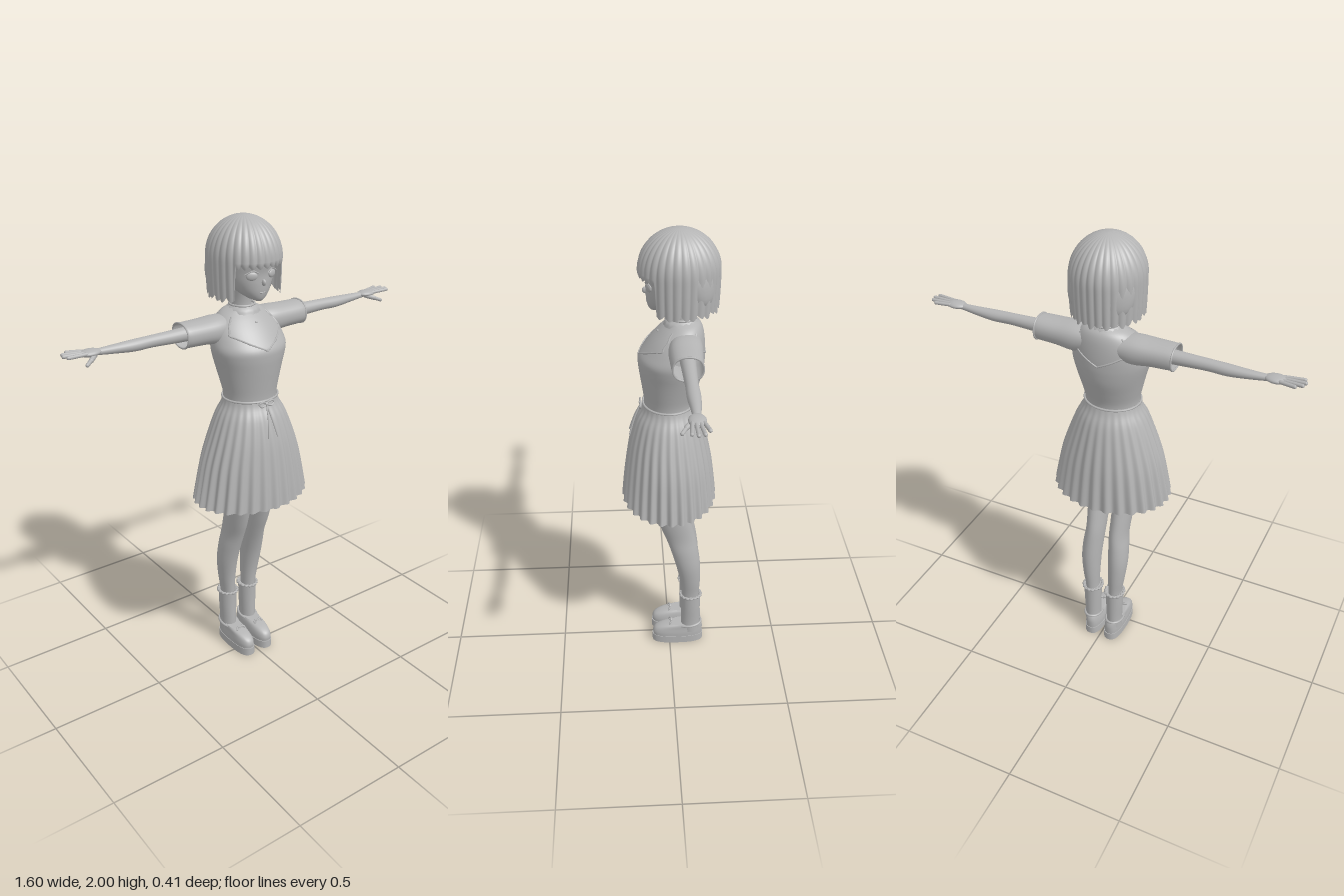
import * as THREE from 'three';

const grey = new THREE.MeshStandardMaterial({ color: 0xb4b4b4, side: THREE.DoubleSide });
grey.name = 'plain grey';

function mesh(name, geometry, parent) {
  const m = new THREE.Mesh(geometry, grey);
  m.name = name;
  parent.add(m);
  return m;
}

// Closed rings stacked upward; point(angle, t) gives each corner, angle 0 faces +z.
function rings(rows, n, point, capped) {
  const pos = [], idx = [];
  for (let r = 0; r <= rows; r++)
    for (let i = 0; i < n; i++) pos.push(...point((i / n) * Math.PI * 2, r / rows));
  for (let r = 0; r < rows; r++)
    for (let i = 0; i < n; i++) {
      const j = (i + 1) % n, a = r * n + i, b = r * n + j;
      idx.push(a, b, b + n, a, b + n, a + n);
    }
  if (capped) for (const r of [0, rows]) {
    const base = pos.length / 3, c = [0, 0, 0];
    for (let i = 0; i < n; i++) {
      const p = point((i / n) * Math.PI * 2, r / rows);
      pos.push(...p);
      p.forEach((v, k) => { c[k] += v / n; });
    }
    pos.push(...c);
    for (let i = 0; i < n; i++) {
      const a = base + i, b = base + (i + 1) % n;
      if (r) idx.push(a, b, base + n); else idx.push(b, a, base + n);
    }
  }
  const g = new THREE.BufferGeometry();
  g.setAttribute('position', new THREE.Float32BufferAttribute(pos, 3));
  g.setIndex(idx);
  g.computeVertexNormals();
  return g;
}

// Smooth loft through [y, x min, x max, z min, z max] sections, listed upward.
function loft(sections, { n = 24, rows = sections.length * 4, capped = true, wave = () => 1 } = {}) {
  const curve = (a, b) => new THREE.CatmullRomCurve3(
    sections.map(s => new THREE.Vector3(s[a], s[0], s[b])), false, 'catmullrom', 0.5);
  const lo = curve(1, 3), hi = curve(2, 4);
  return rings(rows, n, (a, t) => {
    const p = lo.getPoint(t), q = hi.getPoint(t), w = wave(a, t);
    return [(p.x + q.x) / 2 + (q.x - p.x) / 2 * Math.sin(a) * w, p.y,
      (p.z + q.z) / 2 + (q.z - p.z) / 2 * Math.cos(a) * w];
  }, capped);
}
const even = list => list.map(([y, x, z0, z1]) => [y, -x, x, z0, z1]);

function tube(points, r, closed = false) {
  const path = new THREE.CatmullRomCurve3(points.map(p => new THREE.Vector3(...p)), closed);
  return new THREE.TubeGeometry(path, points.length * 5, r, 6, closed);
}
const loop = (n, f) => Array.from({ length: n }, (_, i) => f((i / n) * Math.PI * 2));

// An ellipsoid
function blob(name, parent, at, size) {
  const m = mesh(name, new THREE.SphereGeometry(1, 20, 14), parent);
  m.position.set(...at);
  m.scale.set(...size);
  return m;
}

// A rounded finger from a to b
function finger(name, parent, a, b, r) {
  const p = new THREE.Vector3(...a), q = new THREE.Vector3(...b), d = q.clone().sub(p);
  const m = mesh(name, new THREE.CapsuleGeometry(r, d.length(), 4, 8), parent);
  m.position.copy(p).add(q).multiplyScalar(0.5);
  m.quaternion.setFromUnitVectors(new THREE.Vector3(0, 1, 0), d.normalize());
}

const TORSO = [[1.25, .114, -.10, .10], [1.29, .117, -.103, .103], [1.34, .128, -.117, .11], [1.4, .143, -.135, .119],
  [1.45, .157, -.143, .125], [1.485, .163, -.145, .123], [1.52, .158, -.145, .1], [1.56, .145, -.142, .068],
  [1.595, .12, -.136, .034], [1.62, .09, -.125, .006], [1.637, .052, -.105, -.004]];

// A point on the torso surface, front (side 1) or back (side -1)
function onTorso(x, y, side) {
  const i = Math.max(1, TORSO.findIndex(s => s[0] >= y)), a = TORSO[i - 1], b = TORSO[i];
  const t = (y - a[0]) / (b[0] - a[0]);
  const [, rx, z0, z1] = a.map((v, k) => v + (b[k] - v) * t);
  return [x, y, (z0 + z1) / 2 + side * (z1 - z0) / 2 * Math.sqrt(Math.max(0, 1 - (x / rx) ** 2))];
}

function buildHead(parent) {
  const head = new THREE.Group();
  head.name = 'head';
  parent.add(head);
  mesh('face', loft(even([[1.678, .012, .045, .07], [1.69, .036, .0, .08], [1.715, .066, -.06, .087],
    [1.75, .09, -.11, .09], [1.79, .106, -.14, .091], [1.84, .114, -.16, .1], [1.9, .105, -.15, .09],
    [1.95, .07, -.11, .05]]), { n: 40 }), head);
  blob('nose', head, [0, 1.757, .09], [.008, .014, .014]);
  blob('mouth', head, [0, 1.716, .084], [.015, .003, .005]);
  for (const s of [-1, 1]) {
    blob('eye', head, [s * .048, 1.785, .08], [.023, .017, .008]).rotation.y = s * .42;
    mesh('upperLid', tube([[s * .022, 1.795, .091], [s * .045, 1.806, .086], [s * .075, 1.792, .07]], .003), head);
    blob('ear', head, [s * .107, 1.775, -.03], [.014, .032, .02]);
  }

  // Bobbed hair: ribbed dome, short fringe in front, long sides and back
  const STRANDS = 30;
  mesh('hair', rings(30, 300, (a, t) => {
    const off = Math.min(a, Math.PI * 2 - a);
    const rib = Math.abs(Math.cos(a * STRANDS / 2));
    const side = THREE.MathUtils.smoothstep(off, .87, .93);
    const end = THREE.MathUtils.lerp(1.815, 1.677 + .012 * Math.sin(a * 7) ** 2, side) + .012 * (1 - rib);
    const down = 1 - t;
    let y, r = 1;
    if (down < .6) {
      const k = down / .6 * Math.PI / 2;
      y = 1.84 + .16 * Math.cos(k);
      r = Math.sin(k);
    } else {
      const k = (down - .6) / .4;
      y = 1.84 + (end - 1.84) * k;
      r = 1 - .035 * k * k;
    }
    r *= .965 + .035 * rib;
    return [.149 * r * Math.sin(a), y, -.04 + .162 * r * Math.cos(a)];
  }), head);
  // Closes the underside of the hair behind the face
  mesh('innerHair', loft(even([[1.71, .085, -.15, -.05], [1.74, .125, -.183, -.03], [1.82, .137, -.19, .02],
    [1.9, .12, -.17, .03]]), { n: 32 }), head);
  mesh('neck', loft(even([[1.6, .05, -.11, 0], [1.64, .039, -.102, -.012], [1.7, .037, -.095, -.005],
    [1.75, .045, -.1, .01]])), head);
}

function buildDress(parent) {
  mesh('bodice', loft(even(TORSO), { n: 48 }), parent);
  const PLEATS = 28;
  mesh('skirt', loft(even([[.812, .256, -.197, .197], [.9, .24, -.189, .19], [1.0, .219, -.177, .179],
    [1.1, .187, -.158, .163], [1.19, .152, -.135, .138], [1.24, .125, -.112, .112], [1.272, .115, -.101, .103]]),
  { n: 280, rows: 24, capped: false, wave: (a, t) => 1 + .035 * (1 - t) * Math.cos(a * PLEATS) }), parent);
  mesh('waistCord', tube(loop(24, a => [.119 * Math.sin(a), 1.268, .001 + .106 * Math.cos(a)]), .005, true), parent);

  // Bow with two hanging tails
  blob('bowKnot', parent, [0, 1.258, .115], [.008, .008, .008]);
  for (const s of [-1, 1]) {
    mesh('bowLoop', tube([[0, 1.258, .115], [s * .022, 1.27, .118], [s * .037, 1.262, .117],
      [s * .025, 1.25, .12]], .004, true), parent);
    mesh('bowTail', tube([[0, 1.256, .117], [s * .009, 1.2, .142], [s * .023, 1.125, .165]], .0035), parent);
    // Raised neckline of the pinafore, front and back
    for (const f of [-1, 1]) {
      const pts = [];
      const path = [[0, 1.487], [.06, 1.515], [.122, 1.548], [.108, 1.58], [.076, 1.617]];
      for (let i = 0; i < 4; i++)
        for (let k = 0; k < 4; k++)
          pts.push(onTorso(s * THREE.MathUtils.lerp(path[i][0], path[i + 1][0], k / 4),
            THREE.MathUtils.lerp(path[i][1], path[i + 1][1], k / 4), f));
      mesh('neckline', tube(pts, .004), parent);
    }
  }
  // Round collar and placket button
  mesh('collar', loft(even([[1.612, .074, -.122, .022], [1.628, .066, -.116, .014], [1.642, .05, -.106, -.002]]),
    { n: 32, capped: false, wave: a => 1 + .03 * Math.cos(a * 16) }), parent);
  mesh('collarEdge', tube(loop(24, a => [.05 * Math.sin(a), 1.642, -.054 + .053 * Math.cos(a)]), .005, true), parent);
  blob('button', parent, onTorso(0, 1.585, 1), [.005, .005, .004]);
}

// Left arm: lofts are made upright, then laid out along +x
function buildArm() {
  const arm = new THREE.Group();
  const lay = m => { m.rotation.z = -Math.PI / 2; m.position.set(0, 1.562, 0); };
  lay(mesh('sleeve', loft([[.07, -.045, .05, -.125, -.005], [.13, -.05, .062, -.127, .008],
    [.2, -.047, .055, -.122, .008], [.27, -.046, .053, -.118, .005], [.295, -.045, .052, -.115, 0]],
  { n: 32, capped: false, wave: a => 1 + .05 * Math.sin(2 * a) ** 2 }), arm));
  mesh('cuff', tube(loop(16, a => {
    const w = 1 + .05 * Math.sin(2 * a) ** 2;
    return [.292, 1.5585 + .049 * w * Math.cos(a), -.0575 + .058 * w * Math.sin(a)];
  }), .004, true), arm);
  lay(mesh('forearm', loft([[.12, -.035, .035, -.095, -.025], [.3, -.026, .03, -.089, -.032],
    [.42, -.023, .025, -.086, -.036], [.5, -.021, .026, -.088, -.036], [.58, -.018, .018, -.083, -.042],
    [.645, -.016, .01, -.076, -.046], [.66, -.014, .008, -.076, -.046]]), arm));

  // Hand, palm down with the thumb forward
  blob('palm', arm, [.684, 1.569, -.06], [.045, .014, .032]);
  [[-.082, .762, -.096], [-.068, .786, -.078], [-.054, .792, -.056], [-.041, .783, -.034]].forEach(([z, x, tipZ]) =>
    finger('finger', arm, [.705, 1.572, z], [x, 1.575, tipZ], .0075));
  finger('thumb', arm, [.67, 1.562, -.046], [.7, 1.552, -.022], .0095);
  finger('thumbTip', arm, [.7, 1.552, -.022], [.724, 1.543, -.006], .0075);
  return arm;
}

// Left leg with sock and shoe
function buildLeg() {
  const leg = new THREE.Group();
  mesh('bareLeg', loft([[.2, .025, .085, -.135, -.06], [.28, .027, .088, -.136, -.056],
    [.36, .025, .1, -.14, -.048], [.45, .022, .109, -.139, -.03], [.53, .018, .106, -.13, -.008],
    [.6, .015, .098, -.118, .015], [.68, .014, .101, -.098, .044], [.8, .012, .109, -.07, .073],
    [.95, .005, .125, -.08, .085], [1.1, .0, .13, -.095, .085], [1.18, .0, .115, -.09, .08]], { n: 28 }), leg);
  mesh('sock', loft([[.06, .02, .09, -.142, -.055], [.12, .02, .09, -.142, -.055], [.2, .017, .094, -.143, -.055],
    [.272, .015, .096, -.144, -.053]]), leg);
  mesh('sockFrill', tube(loop(32, a => {
    const w = 1 + .05 * Math.cos(a * 16);
    return [.0555 + .042 * w * Math.sin(a), .272, -.098 + .046 * w * Math.cos(a)];
  }), .006, true), leg);

  // Rounded shoe on a flat sole
  const square = a => 1 + .09 * Math.sin(2 * a) ** 2;
  mesh('sole', loft([[0, .005, .092, -.157, .08], [.018, .005, .092, -.157, .08], [.036, .005, .092, -.157, .08]],
    { n: 36, wave: square }), leg);
  mesh('shoe', loft([[.034, .008, .09, -.154, .076], [.055, .008, .09, -.155, .077], [.075, .011, .088, -.155, .066],
    [.09, .015, .087, -.152, .036], [.1, .02, .085, -.148, -.008]], { n: 36, wave: square }), leg);
  mesh('shoeCollar', tube(loop(16, a => [.054 + .038 * Math.sin(a), .098 - .008 * Math.cos(a),
    -.094 + .054 * Math.cos(a)]), .006, true), leg);
  for (const s of [-1, 1])
    mesh('shoeBow', tube([[.05, .1, -.01], [.05 + s * .014, .108, -.008], [.05 + s * .022, .1, 0]], .004, true), leg);
  return leg;
}

export function createModel() {
  const model = new THREE.Group();
  model.name = 'girlInDress';
  buildHead(model);
  buildDress(model);
  for (const [name, build] of [['Arm', buildArm], ['Leg', buildLeg]])
    for (const s of [1, -1]) {
      const limb = build();
      limb.name = (s > 0 ? 'left' : 'right') + name;
      limb.scale.x = s;
      model.add(limb);
    }
  return model;
}
